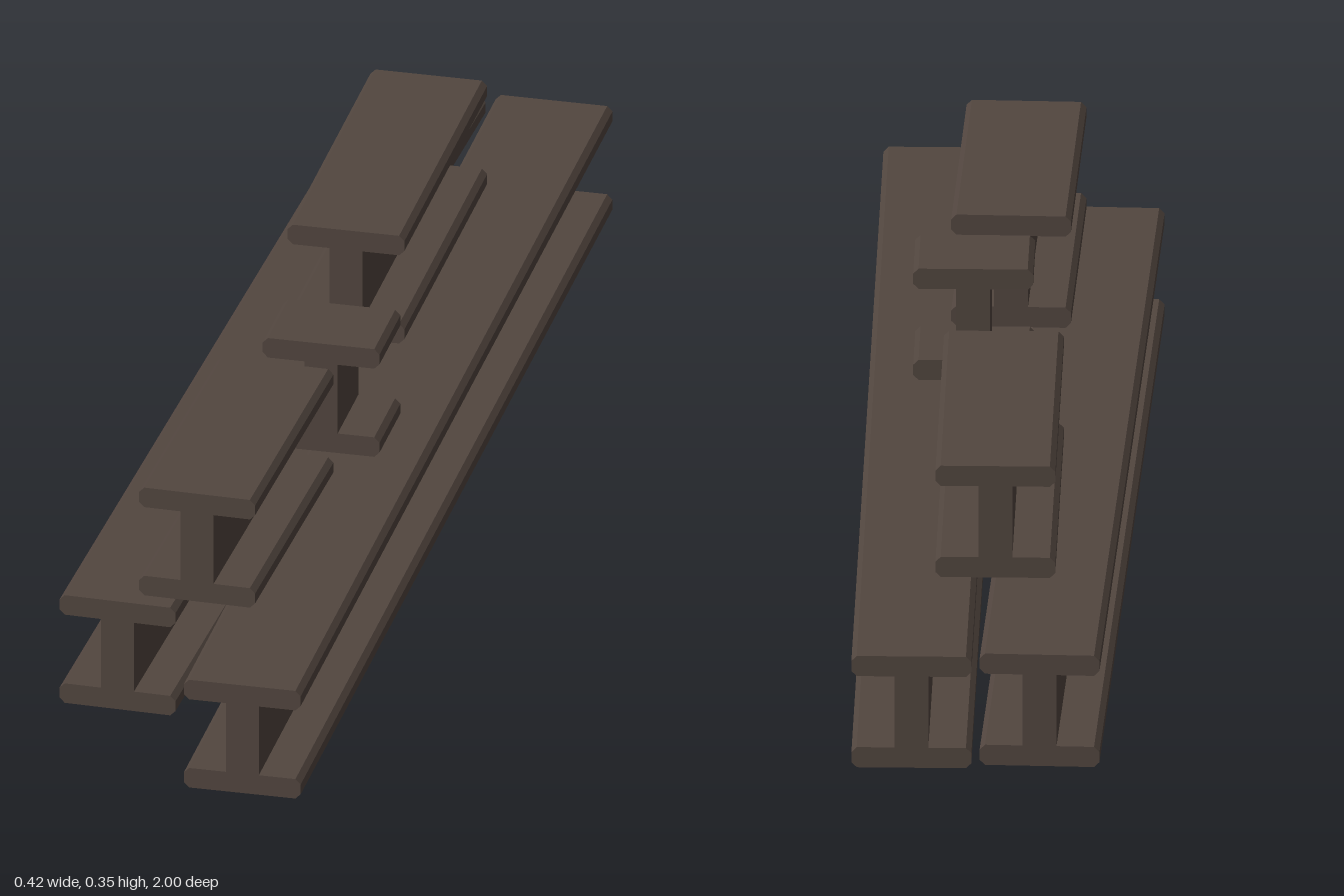
import * as THREE from 'three';

const SIZE = 0.177;     // width and height of every beam
const FLANGE = 0.032;   // flange thickness
const WEB = 0.05;       // web thickness
const BEVEL = 0.008;    // chamfer on flange edges

// I-shaped cross-section standing on y = 0
function beamProfile() {
  const h = SIZE / 2, w = WEB / 2, c = BEVEL, f = FLANGE, t = SIZE;
  const right = [
    [h - c, 0], [h, c], [h, f - c], [h - c, f], [w, f],
    [w, t - f], [h - c, t - f], [h, t - f + c], [h, t - c], [h - c, t],
  ];
  const left = right.map(([x, y]) => [-x, y]).reverse();
  return new THREE.Shape([...right, ...left].map(([x, y]) => new THREE.Vector2(x, y)));
}

export function createModel() {
  const model = new THREE.Group();
  model.name = 'beamStack';
  const steel = new THREE.MeshStandardMaterial({ color: 0x52463f });
  steel.name = 'darkBrownSteel';
  const profile = beamProfile();

  function addBeam(name, x, y, z, length, turn = 0) {
    const geometry = new THREE.ExtrudeGeometry(profile, { depth: length, bevelEnabled: false });
    geometry.translate(0, 0, -length / 2);
    const beam = new THREE.Mesh(geometry, steel);
    beam.name = name;
    beam.position.set(x, y, z);
    beam.rotation.y = turn;
    model.add(beam);
  }

  // Two long beams on the ground, one slightly askew
  addBeam('leftLongBeam', 0.1215, 0, 0, 2);
  addBeam('rightLongBeam', -0.0945, 0, -0.109, 1.76, -0.031);

  // Three offcuts lying on top
  addBeam('frontShortBeam', -0.001, SIZE + 0.001, 0.52, 0.451, -0.027);
  addBeam('middleOffcut', 0.056, SIZE + 0.001, 0.15, 0.134);
  addBeam('backShortBeam', 0.005, SIZE + 0.001, -0.424, 0.531);

  return model;
}
